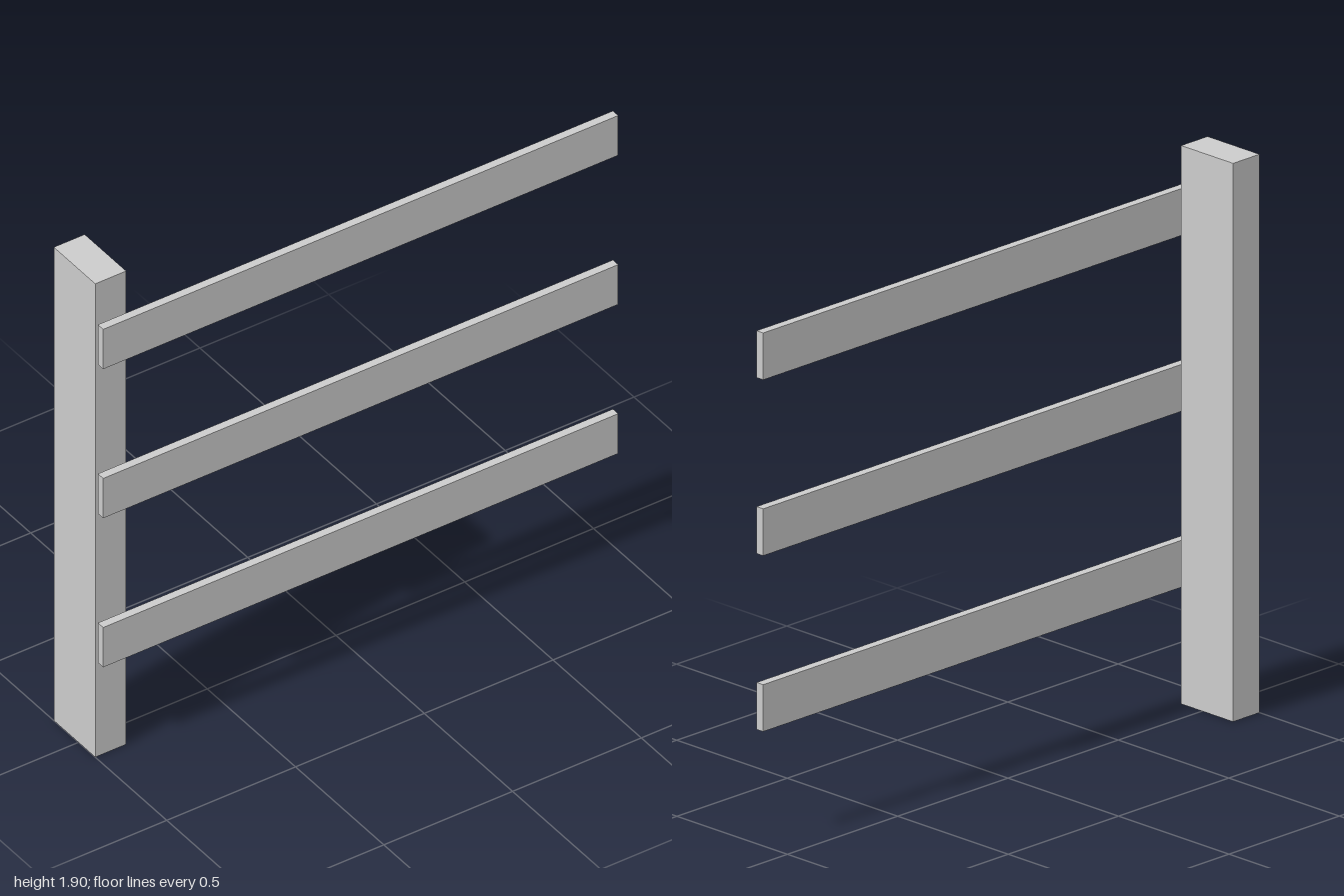
import * as THREE from 'three';

export function createModel() {
  const group = new THREE.Group();
  const material = new THREE.MeshStandardMaterial({ color: 0xcccccc, flatShading: true });

  // Box given by its minimum and maximum corners
  function addBox(name, min, max) {
    const size = max.map((v, i) => v - min[i]);
    const mesh = new THREE.Mesh(new THREE.BoxGeometry(...size), material);
    mesh.position.set(...max.map((v, i) => (v + min[i]) / 2));
    mesh.name = name;
    group.add(mesh);
  }

  // Single upright post at the right end
  addBox('post', [-1, 0, -0.14], [-0.88, 1.905, 0.095]);

  // Three evenly spaced rails, standing just clear of the post's front
  ['lowerRail', 'middleRail', 'upperRail'].forEach((name, i) => {
    const y = 0.39 + i * 0.6;
    addBox(name, [-1, y, 0.11], [1, y + 0.16, 0.14]);
  });

  return group;
}
